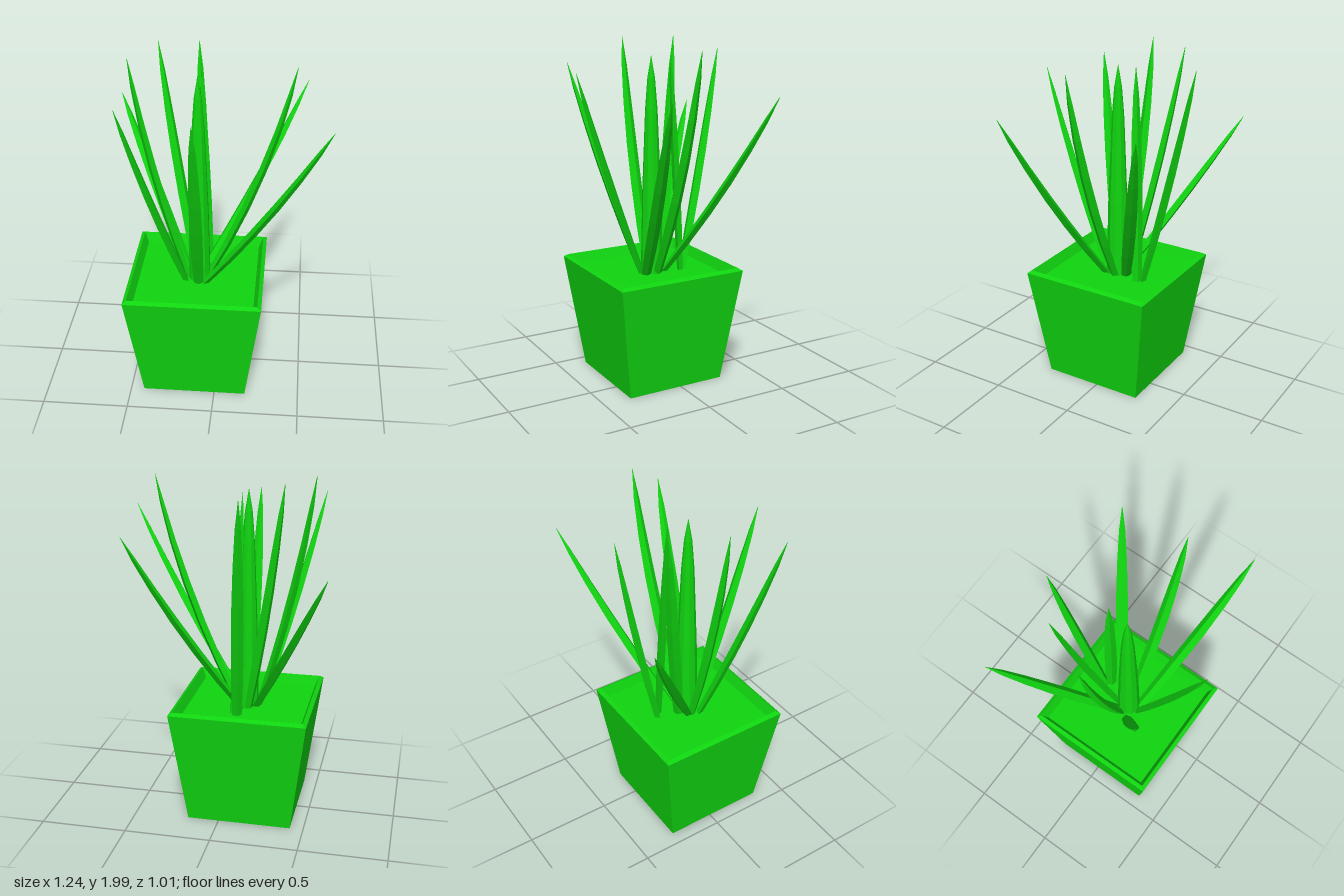
import * as THREE from 'three';

const CX = -0.12, CZ = 0.03, SOIL_Y = 0.635;
const green = new THREE.MeshStandardMaterial({
  color: 0x10d410, flatShading: true, side: THREE.DoubleSide,
});

function addMesh(parent, name, geometry) {
  const mesh = new THREE.Mesh(geometry, green);
  mesh.name = name;
  parent.add(mesh);
  return mesh;
}

// Half-widths along a blade: [fraction of length, half width, half thickness]
const BLADE = [
  [0, 0.028, 0.018], [0.18, 0.034, 0.022], [0.36, 0.035, 0.023], [0.54, 0.033, 0.022],
  [0.72, 0.027, 0.018], [0.88, 0.017, 0.012], [1, 0.001, 0.001],
];

// Tapered blade with a diamond section, swept along a curve bowed outwards
function bladeGeometry([bx, bz], [tx, ty, tz], bow) {
  const base = new THREE.Vector3(bx, SOIL_Y, bz);
  const tip = new THREE.Vector3(tx, ty, tz);
  const out = new THREE.Vector3(tx - bx, 0, tz - bz).normalize();
  const control = base.clone().lerp(tip, 0.5).addScaledVector(out, bow * 2);
  const curve = new THREE.QuadraticBezierCurve3(base, control, tip);
  const side = new THREE.Vector3(0, 1, 0).cross(out).normalize();
  const positions = [], index = [];
  BLADE.forEach(([t, w, d], i) => {
    const p = curve.getPoint(t);
    const normal = curve.getTangent(t).cross(side).normalize();
    for (const [a, b] of [[w, 0], [0, d], [-w, 0], [0, -d]]) {
      positions.push(...p.clone().addScaledVector(side, a).addScaledVector(normal, b).toArray());
    }
    if (i === 0) return;
    for (let k = 0; k < 4; k++) {
      const a = (i - 1) * 4 + k, b = (i - 1) * 4 + (k + 1) % 4;
      index.push(a, b, b + 4, a, b + 4, a + 4);
    }
  });
  const g = new THREE.BufferGeometry();
  g.setAttribute('position', new THREE.Float32BufferAttribute(positions, 3));
  g.setIndex(index);
  g.computeVertexNormals();
  return g;
}

export function createModel() {
  const model = new THREE.Group();
  model.name = 'pottedPlant';

  // Square tapered pot, open below, with a bevelled rim
  const profile = [[0.302, 0], [0.392, 0.68], [0.37, 0.695], [0.345, SOIL_Y]]
    .map(([half, y]) => new THREE.Vector2(half * Math.SQRT2, y));
  const pot = addMesh(model, 'pot', new THREE.LatheGeometry(profile, 4, Math.PI / 4));
  pot.position.set(CX, 0, CZ);

  // Soil surface
  const soil = addMesh(model, 'soil', new THREE.PlaneGeometry(0.69, 0.69).rotateX(-Math.PI / 2));
  soil.position.set(CX, SOIL_Y, CZ);

  // Upright central shoot
  const shootProfile = [[0.066, SOIL_Y], [0.056, 1.1], [0.036, 1.6], [0.022, 1.78], [0, 1.91]]
    .map(([r, y]) => new THREE.Vector2(r, y));
  const shoot = addMesh(model, 'centralShoot', new THREE.LatheGeometry(shootProfile, 10));
  shoot.position.set(-0.11, 0, CZ);

  // Leaves: base [x, z], tip [x, y, z], outward bow
  const leaves = new THREE.Group();
  leaves.name = 'leaves';
  model.add(leaves);
  [
    [[-0.06, 0.02], [0.42, 1.97, 0.02], 0.05],
    [[-0.18, 0.02], [-0.485, 1.99, 0.02], 0.03],
    [[-0.07, 0.09], [0.62, 1.74, 0.315], 0.03],
    [[-0.09, -0.04], [0.485, 1.71, -0.435], 0.03],
    [[-0.17, 0], [-0.62, 1.56, -0.51], 0.01],
    [[-0.13, -0.04], [-0.355, 1.99, -0.255], 0.015],
    [[-0.19, 0.07], [-0.505, 1.85, 0.37], 0.015],
    [[-0.11, 0.1], [-0.095, 1.83, 0.5], 0.015],
    [[-0.085, -0.16], [-0.145, 1.93, -0.435], 0.01],
    [[-0.06, -0.135], [-0.1, 1.91, -0.09], 0],
  ].forEach(([base, tip, bow], i) => addMesh(leaves, `leaf${i + 1}`, bladeGeometry(base, tip, bow)));

  return model;
}
